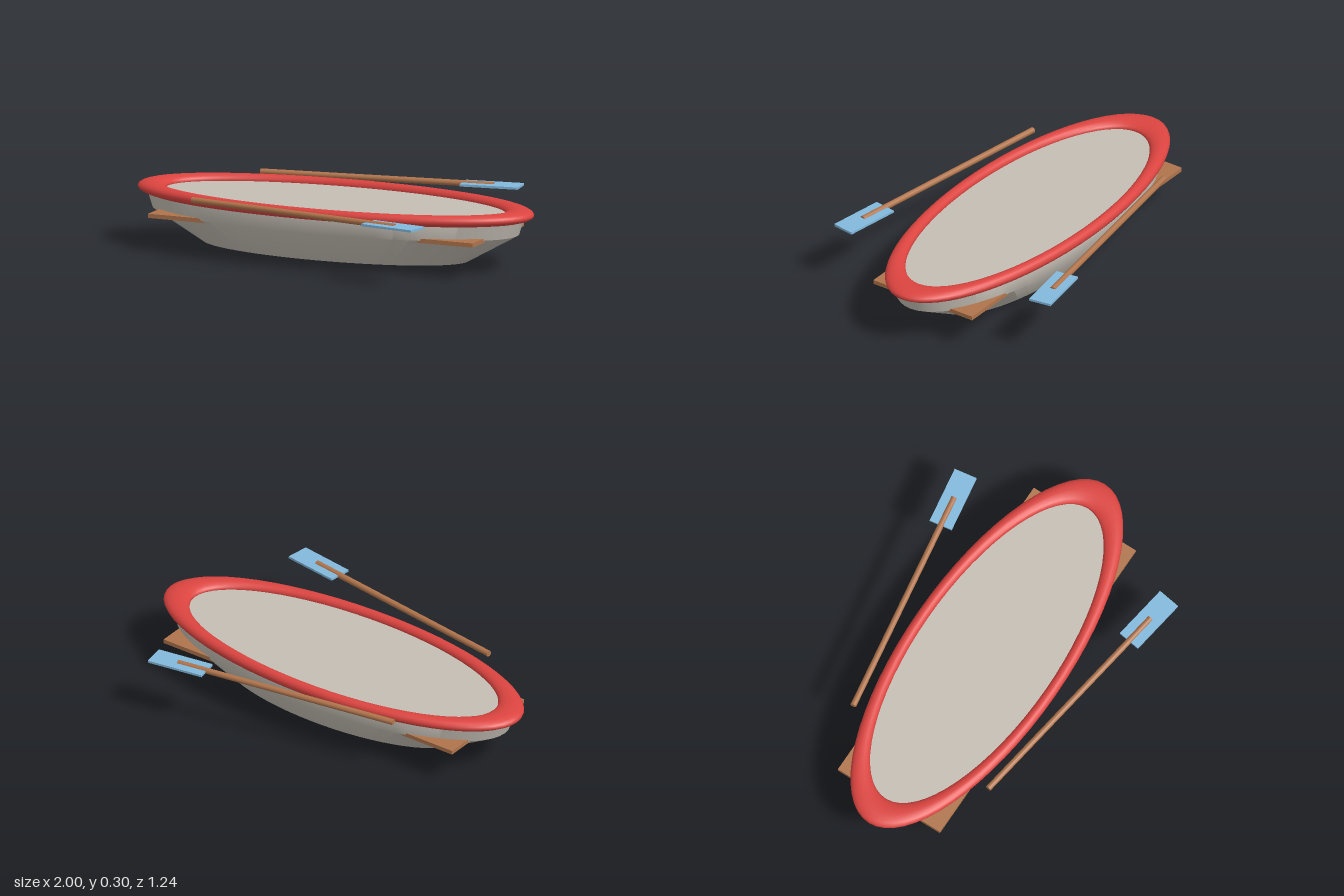
import * as THREE from 'three';
import { toCreasedNormals } from 'three/addons/utils/BufferGeometryUtils.js';

const mat = (name, color) => {
  const m = new THREE.MeshStandardMaterial({ color });
  m.name = name;
  return m;
};

export function createModel() {
  const boat = new THREE.Group();
  boat.name = 'rowingBoat';
  const grey = mat('hull grey', 0xc4beb4);
  const red = mat('rim red', 0xdc4440);
  const brown = mat('wood brown', 0xb0744c);
  const blue = mat('blade blue', 0x82b8dc);
  const squash = 0.385; // width of the oval boat relative to its length

  const add = (parent, name, geometry, material, x = 0, y = 0, z = 0) => {
    const mesh = new THREE.Mesh(geometry, material);
    mesh.name = name;
    mesh.position.set(x, y, z);
    parent.add(mesh);
    return mesh;
  };

  // Oval hull with a shallow pointed bottom and creased chines
  const profile = [[0, 0.004], [0.67, 0.032], [0.925, 0.175], [0.95, 0.25], [0.94, 0.265]]
    .map(([r, y]) => new THREE.Vector2(r, y));
  const hull = new THREE.LatheGeometry(profile, 64);
  hull.scale(1, 1, squash);
  add(boat, 'hull', toCreasedNormals(hull, Math.PI / 6), grey);

  // Flat floor inside the rim
  const floor = new THREE.CircleGeometry(0.93, 64);
  floor.rotateX(-Math.PI / 2);
  floor.scale(1, 1, squash);
  add(boat, 'floor', floor, grey, 0, 0.266, 0);

  // Padded oval rim
  const rim = new THREE.TorusGeometry(0.928, 0.072, 16, 64);
  rim.rotateX(Math.PI / 2);
  rim.scale(1, 0.38, 0.38);
  add(boat, 'rim', rim, red, 0, 0.269, 0);

  // Cross planks whose corners stick out through the hull
  for (const side of [-1, 1]) {
    add(boat, side > 0 ? 'leftPlank' : 'rightPlank',
      new THREE.BoxGeometry(0.33, 0.02, 0.565), brown, side * 0.665, 0.175, 0);
  }

  // Oars splayed outward along both long sides
  const length = 1.127;
  for (const side of [-1, 1]) {
    const oar = new THREE.Group();
    oar.name = side > 0 ? 'frontOar' : 'backOar';
    oar.position.set(-0.56, 0.289, side * 0.374);
    oar.rotation.y = -side * Math.atan2(0.17, 1.115);
    const shaft = new THREE.CylinderGeometry(0.0145, 0.0145, length, 16);
    shaft.rotateZ(Math.PI / 2);
    add(oar, 'oarShaft', shaft, brown, length / 2, 0, 0);
    add(oar, 'oarBlade', new THREE.BoxGeometry(0.28, 0.011, 0.112), blue, length - 0.01, 0, 0);
    boat.add(oar);
  }
  return boat;
}
